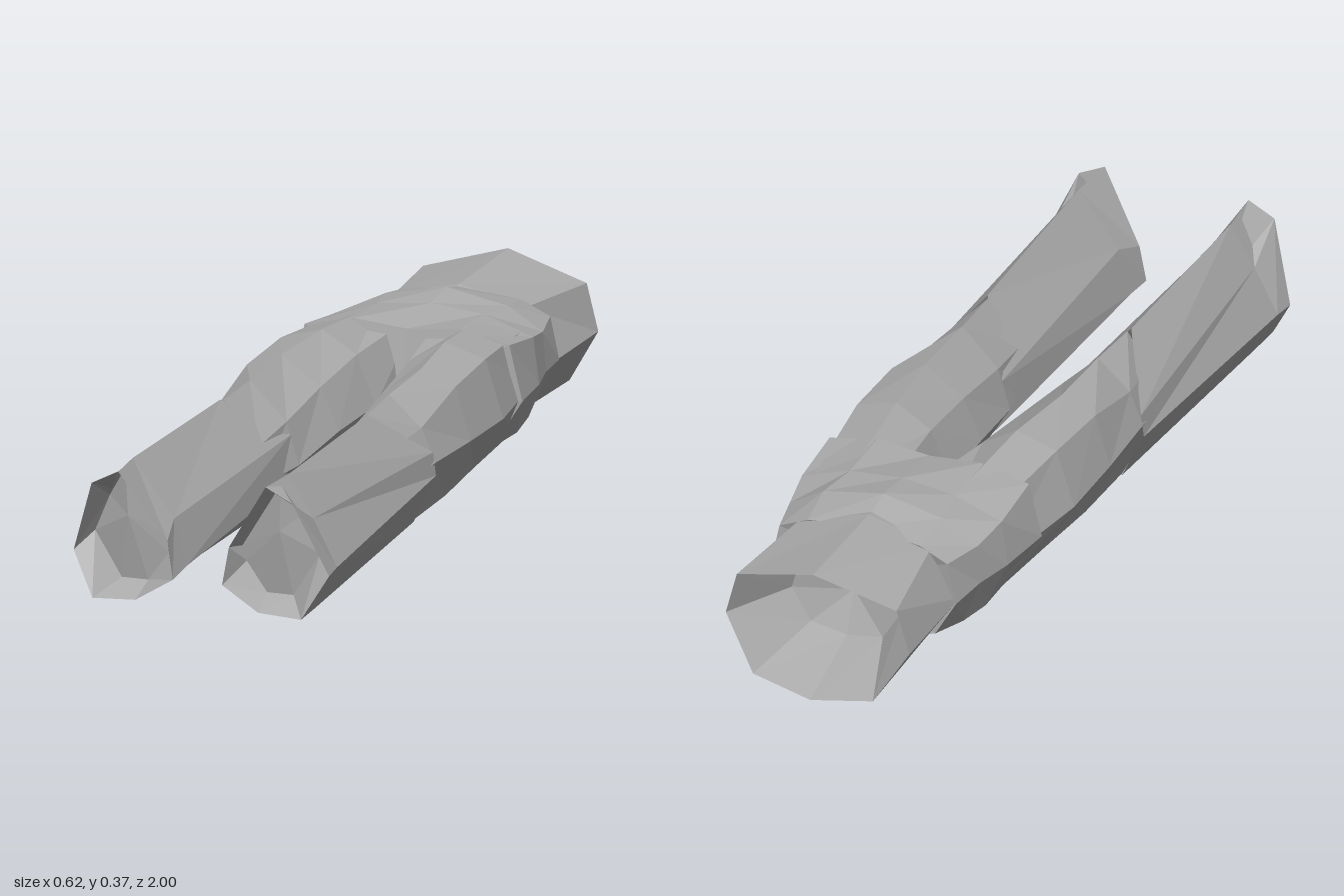
import * as THREE from 'three';

const cloth = new THREE.MeshStandardMaterial({ color: 0xaaaaaa, flatShading: true, side: THREE.DoubleSide });
cloth.name = 'grey cloth';

// Skin a list of rings (each counter-clockwise seen from +z) into a faceted surface.
function loft(name, rings, mirror = false) {
  const pos = [];
  const tri = (a, b, c) => {
    const ab = new THREE.Vector3().subVectors(b, a);
    if (ab.cross(new THREE.Vector3().subVectors(c, a)).length() < 1e-9) return;
    for (const p of mirror ? [a, c, b] : [a, b, c]) pos.push(mirror ? -p.x : p.x, p.y, p.z);
  };
  const v = rings.map(r => r.map(p => new THREE.Vector3(...p)));
  for (let i = 0; i + 1 < v.length; i++) {
    const n = v[i].length;
    for (let j = 0; j < n; j++) {
      const k = (j + 1) % n;
      tri(v[i][j], v[i][k], v[i + 1][k]);
      tri(v[i][j], v[i + 1][k], v[i + 1][j]);
    }
  }
  const geometry = new THREE.BufferGeometry();
  geometry.setAttribute('position', new THREE.Float32BufferAttribute(pos, 3));
  geometry.computeVertexNormals();
  const mesh = new THREE.Mesh(geometry, cloth);
  mesh.name = name;
  return mesh;
}

const at = (z, pts) => pts.map(([x, y]) => [x, y, z]);
const point = (p, n) => Array(n).fill(p);
// Half profile from bottom centre to top centre, completed on the other side.
const whole = half => [...half, ...half.slice(1, -1).reverse().map(([x, y, z]) => [-x, y, z])];

// Ring order on a leg: outer, top outer, top, inner high, inner low, bottom inner, bottom outer
const shin = [
  [[.285, .16, .2], [.278, .215, .2], [.18, .335, .36], [.07, .22, .2], [.06, .12, .18], [.12, .045, .2], [.23, .045, .2]],
  [[.308, .125, .88], [.25, .235, .88], [.19, .334, .88], [.09, .2, .88], [.06, .09, .88], [.15, .025, .88], [.252, .021, .88]],
  [[.312, .12, .94], [.245, .3, 1], [.18, .333, 1], [.075, .17, .96], [.06, .08, .965], [.15, .025, .97], [.255, .019, .97]],
  // recessed end
  [[.275, .16, .9], [.235, .25, .91], [.19, .322, .93], [.085, .16, .9], [.095, .125, .9], [.145, .055, .9], [.21, .055, .9]],
  point([.185, .21, .925], 7),
];

const thigh = [
  at(-.5, [[.25, .19], [.22, .31], [.13, .338], [.03, .33], [.005, .2], [.04, .07], [.2, .07]]),
  at(-.2, [[.294, .19], [.25, .327], [.15, .357], [.065, .305], [.018, .19], [.07, .07], [.22, .065]]),
  at(0, [[.292, .19], [.255, .315], [.17, .348], [.075, .28], [.03, .18], [.09, .06], [.23, .055]]),
  at(.2, [[.283, .19], [.25, .27], [.17, .34], [.08, .25], [.05, .15], [.11, .05], [.23, .05]]),
  at(.35, [[.27, .17], [.23, .25], [.175, .332], [.09, .23], [.08, .14], [.13, .06], [.22, .06]]),
  point([.18, .2, .35], 7),
];

const hips = [
  point([0, .2, -.66], 12),
  whole(at(-.71, [[0, .07], [.09, .07], [.18, .1], [.232, .19], [.21, .29], [.14, .322], [0, .34]])),
  whole(at(-.6, [[0, .06], [.1, .035], [.2, .08], [.242, .19], [.235, .285], [.15, .337], [0, .367]])),
  whole(at(-.5, [[0, .05], [.095, 0], [.21, .07], [.265, .19], [.25, .3], [.13, .342], [0, .355]])),
  whole(at(-.35, [[0, .09], [.09, .06], [.21, .075], [.282, .19], [.25, .32], [.13, .346], [0, .334]])),
  point([0, .18, -.32], 12),
];

const rim = [[0, .035, -1], [.15, .06, -.985], [.23, .19, -.96], [.2, .3, -.965], [0, .357, -.985]];
const waist = [
  // hollow waist opening
  point([0, .2, -.76], 8),
  whole(rim.map(([x, y]) => [x * .6, .2 + (y - .2) * .6, -.8])),
  whole(rim),
  whole(at(-.68, [[0, .05], [.14, .06], [.228, .19], [.16, .313], [0, .354]])),
  whole(at(-.58, [[0, .07], [.13, .08], [.22, .19], [.15, .3], [0, .34]])),
];

export function createModel() {
  const group = new THREE.Group();
  group.name = 'trousers';
  group.add(loft('waist', waist), loft('hips', hips));
  for (const [side, mirror] of [['left', false], ['right', true]]) {
    group.add(loft(side + 'Thigh', thigh, mirror), loft(side + 'LowerLeg', shin, mirror));
  }
  return group;
}
